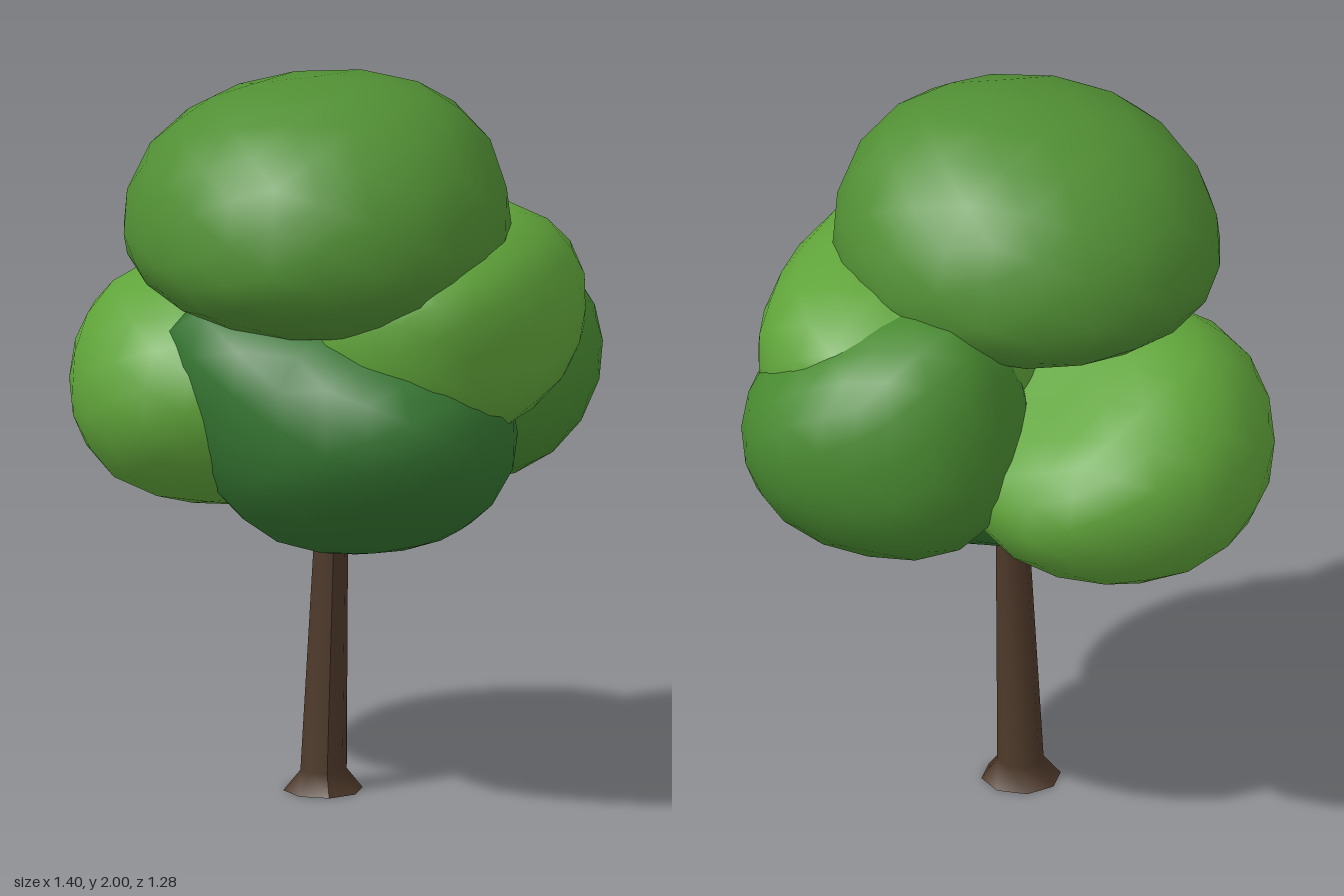
import * as THREE from 'three';
import { mergeVertices } from 'three/addons/utils/BufferGeometryUtils.js';

// Rounded leaf mass: a superellipsoid with its own upper and lower height, sheared,
// then swollen or dented around a few directions, each given as [x, y, z, amount]
function leafMass({ name, color, center, size, lower, power, tilt, bulges }) {
  const raw = new THREE.IcosahedronGeometry(1, 3);
  raw.deleteAttribute('uv');
  raw.deleteAttribute('normal');
  const geo = mergeVertices(raw, 1e-4);
  const pos = geo.attributes.position;
  const dir = new THREE.Vector3();
  const v = new THREE.Vector3();
  const pushes = bulges.map(([x, y, z, amount]) => ({ axis: new THREE.Vector3(x, y, z).normalize(), amount }));
  const [slopeX, slopeZ, skew] = tilt;
  for (let i = 0; i < pos.count; i++) {
    dir.fromBufferAttribute(pos, i).normalize();
    const sum = Math.abs(dir.x) ** power + Math.abs(dir.y) ** power + Math.abs(dir.z) ** power;
    v.copy(dir).multiplyScalar(sum ** (-1 / power));
    const x = v.x * size[0];
    const z = v.z * size[2] + skew * x;
    const y = v.y * (v.y > 0 ? size[1] : lower) + slopeX * x + slopeZ * z;
    v.set(x, y, z);
    for (const { axis, amount } of pushes) v.addScaledVector(axis, amount * Math.max(0, dir.dot(axis)) ** 5);
    pos.setXYZ(i, v.x, v.y, v.z);
  }
  geo.computeVertexNormals();
  const mesh = new THREE.Mesh(geo, new THREE.MeshStandardMaterial({ color }));
  mesh.name = name;
  mesh.position.set(...center);
  return mesh;
}

// Eight-sided trunk with a flared foot, leaning slightly to the side; the doubled point keeps the base edge sharp
function trunk() {
  const profile = [[0, 0], [0.108, 0], [0.108, 0], [0.063, 0.055], [0.045, 0.75], [0.035, 1.25], [0, 1.25]];
  const geo = new THREE.LatheGeometry(profile.map(([r, y]) => new THREE.Vector2(r, y)), 8, Math.PI / 8);
  const pos = geo.attributes.position;
  for (let i = 0; i < pos.count; i++) {
    pos.setX(i, pos.getX(i) + 0.01 + 0.032 * pos.getY(i));
    pos.setZ(i, pos.getZ(i) + 0.01);
  }
  geo.computeVertexNormals();
  const mesh = new THREE.Mesh(geo, new THREE.MeshStandardMaterial({ color: 0x4d3829 }));
  mesh.name = 'trunk';
  return mesh;
}

export function createModel() {
  const tree = new THREE.Group();
  tree.name = 'tree';
  tree.add(trunk());

  const masses = [
    {
      name: 'topFoliage', color: 0x518f34, center: [0.01, 1.58, 0.12], size: [0.53, 0.415, 0.52], lower: 0.265, power: 2.05,
      tilt: [0.015, 0, 0], bulges: [[-0.7, 0, 0.7, -0.045], [0.6, 0.8, -0.15, 0.04], [0.4, -0.8, 0.3, 0.02]],
    },
    {
      name: 'rightSideFoliage', color: 0x60a43a, center: [-0.26, 1.1, -0.07], size: [0.44, 0.33, 0.45], lower: 0.33, power: 2.1,
      tilt: [0, 0.06, 0.1], bulges: [[0.4, 0.8, -0.45, -0.1], [-0.5, 0.8, 0.2, 0.03], [-0.5, -0.6, 0.5, 0.03], [-0.35, 0, 0.9, 0.04], [0.3, -0.1, -0.9, 0.03]],
    },
    {
      name: 'frontFoliage', color: 0x357531, center: [0.14, 1.04, 0.15], size: [0.44, 0.32, 0.39], lower: 0.34, power: 2.1,
      tilt: [0, 0.05, 0.08], bulges: [[-0.7, 0.65, 0.3, 0.19], [-0.4, -0.9, -0.1, 0.02], [0.2, -0.7, 0.7, -0.03], [0.45, 0.1, 0.9, 0.04]],
    },
    {
      name: 'leftSideFoliage', color: 0x60a43a, center: [0.32, 1.34, -0.03], size: [0.38, 0.28, 0.47], lower: 0.27, power: 2.5,
      tilt: [-0.05, -0.05, 0], bulges: [[0.3, 0.6, 0.7, 0.05], [0.7, -0.1, 0.7, -0.03], [0.3, -0.7, 0.5, 0.03], [-0.4, 0.6, -0.6, -0.05]],
    },
    {
      name: 'backFoliage', color: 0x498a31, center: [0.32, 1.18, -0.27], size: [0.385, 0.35, 0.375], lower: 0.35, power: 2.2,
      tilt: [0, -0.1, 0], bulges: [[-0.5, 0.8, -0.2, 0.07], [0.6, 0.75, -0.25, -0.045], [-0.5, -0.4, -0.6, 0.04]],
    },
  ];
  masses.forEach((m) => tree.add(leafMass(m)));

  return tree;
}
